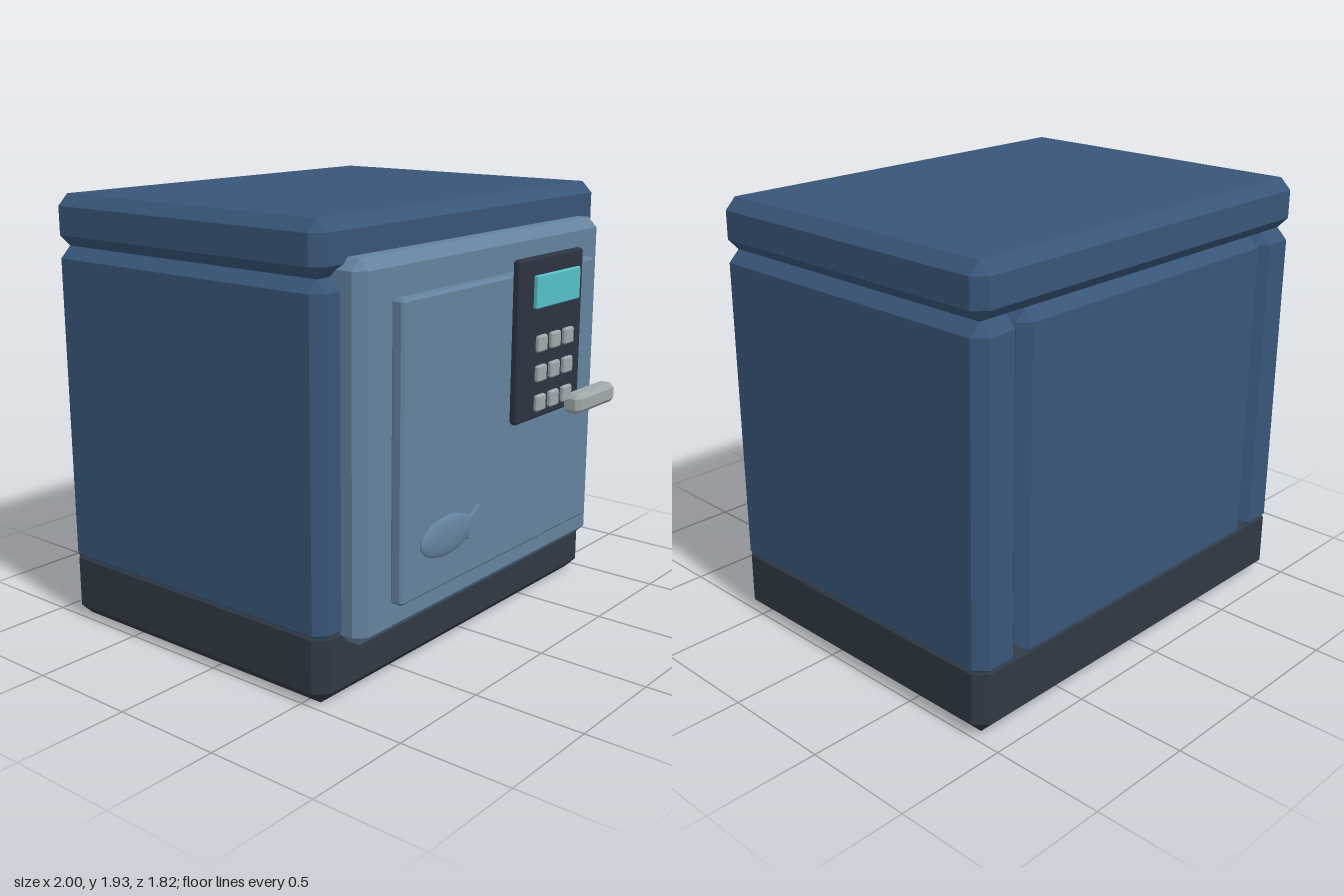
import * as THREE from 'three';
import { ConvexGeometry } from 'three/addons/geometries/ConvexGeometry.js';

const paint = (color) => new THREE.MeshStandardMaterial({ color });

// Box between two corners with every edge bevelled by c
function bevelBox(name, material, [x0, x1], [y0, y1], [z0, z1], c) {
  const half = [(x1 - x0) / 2, (y1 - y0) / 2, (z1 - z0) / 2];
  const points = [];
  for (const sx of [-1, 1]) for (const sy of [-1, 1]) for (const sz of [-1, 1]) {
    // each corner becomes three points, one on each face
    for (let face = 0; face < 3; face++) {
      const p = [sx, sy, sz].map((s, i) => s * (half[i] - (i === face ? 0 : c)));
      points.push(new THREE.Vector3(...p));
    }
  }
  const mesh = new THREE.Mesh(new ConvexGeometry(points), material);
  mesh.position.set((x0 + x1) / 2, (y0 + y1) / 2, (z0 + z1) / 2);
  mesh.name = name;
  return mesh;
}

export function createModel() {
  const safe = new THREE.Group();
  safe.name = 'safe';
  const blue = paint(0x385578);
  const dark = paint(0x2f3944);
  const steel = paint(0x64829f);
  const black = paint(0x2b3440);
  const metal = paint(0xa0a8ac);
  const cyan = paint(0x55c0c8);

  // Cabinet: base, lid, two side walls and a back panel meeting in V grooves
  const depth = [-0.91, 0.61];
  safe.add(
    bevelBox('base', dark, [-1, 1], [0, 0.34], depth, 0.055),
    bevelBox('lid', blue, [-1, 1], [1.71, 1.935], depth, 0.05),
    bevelBox('leftWall', blue, [0.77, 1], [0.255, 1.71], depth, 0.05),
    bevelBox('rightWall', blue, [-1, -0.77], [0.255, 1.71], depth, 0.05),
    bevelBox('backPanel', blue, [-0.77, 0.77], [0.255, 1.71], [-0.91, -0.68], 0.045),
  );

  // Door with its raised panel
  safe.add(
    bevelBox('door', steel, [-0.88, 0.88], [0.24, 1.785], [0.5, 0.71], 0.045),
    bevelBox('doorPanel', steel, [-0.71, 0.71], [0.39, 1.625], [0.715, 0.777], 0.012),
  );

  // Keypad, screen and a 3 x 3 block of buttons
  const keypad = new THREE.Group();
  keypad.name = 'keypad';
  keypad.add(
    bevelBox('keypadPlate', black, [0.02, 0.53], [0.985, 1.69], [0.783, 0.823], 0.01),
    bevelBox('screen', cyan, [0.102, 0.45], [1.48, 1.62], [0.837, 0.858], 0.004),
  );
  for (let row = 0; row < 3; row++) for (let col = 0; col < 3; col++) {
    const x = 0.168 + col * 0.107, y = 1.324 - row * 0.13, r = 0.036;
    keypad.add(bevelBox('button', metal, [x - r, x + r], [y - r, y + r], [0.833, 0.857], 0.007));
  }
  safe.add(keypad);

  // Door handle
  safe.add(bevelBox('handle', metal, [0.395, 0.725], [0.966, 1.056], [0.82, 0.908], 0.02));

  // Oval lock cover with a slanted tab
  const oval = new THREE.Mesh(new THREE.SphereGeometry(1, 32, 20), steel);
  oval.name = 'lockCover';
  oval.scale.set(0.178, 0.084, 0.023);
  oval.position.set(-0.442, 0.624, 0.8);
  const tab = bevelBox('lockTab', steel, [-0.325, -0.185], [0.592, 0.672], [0.788, 0.808], 0.004);
  tab.rotation.z = Math.PI / 6;
  safe.add(oval, tab);

  return safe;
}
